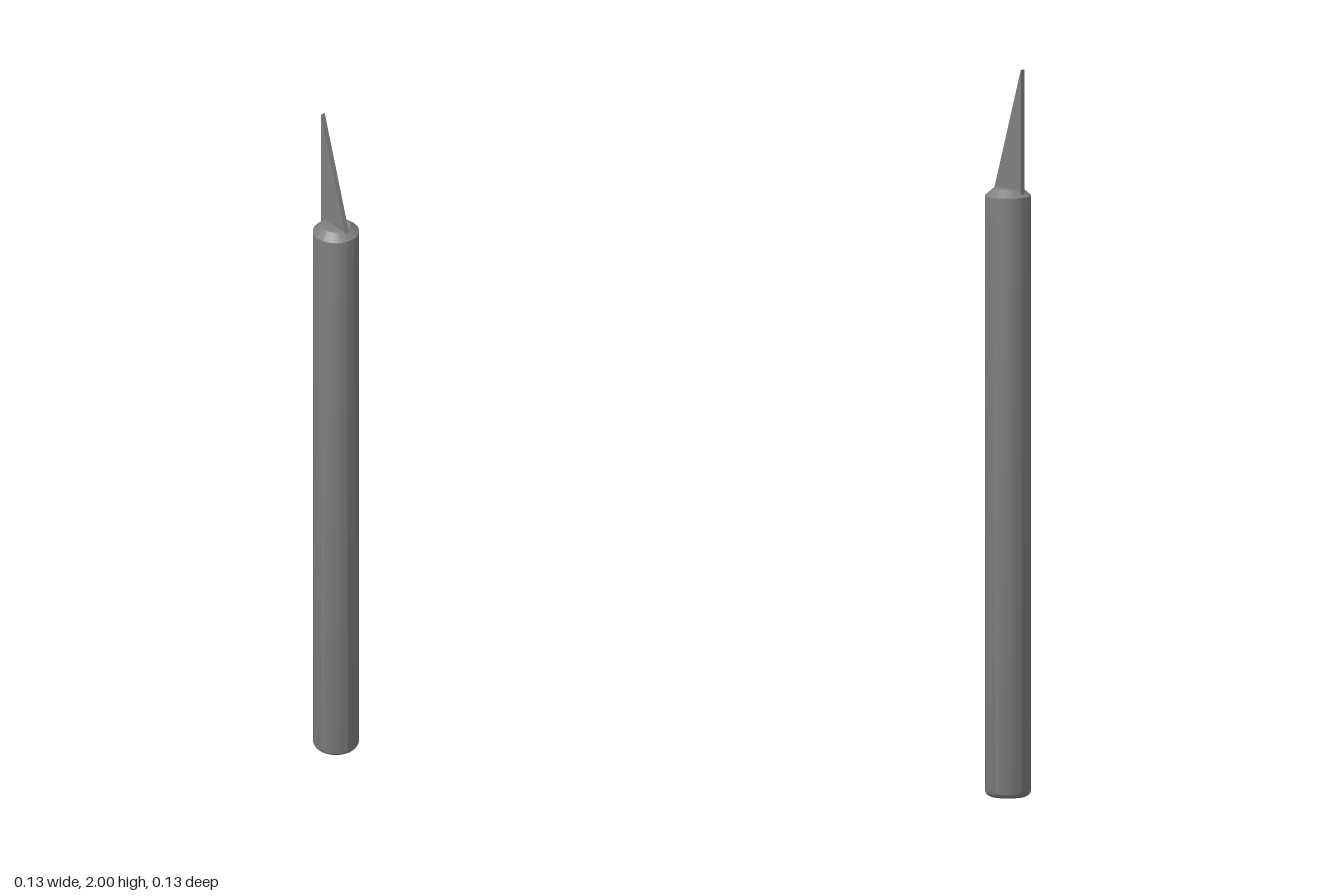
import * as THREE from 'three';
import { toCreasedNormals } from 'three/addons/utils/BufferGeometryUtils.js';

export function createModel() {
  const model = new THREE.Group();
  model.name = 'craftKnife';
  const grey = new THREE.MeshStandardMaterial({ color: 0x808080 });
  grey.name = 'grey';

  // Handle: rounded bottom edge, straight barrel, chamfered collar
  const radius = 0.063, fillet = 0.02;
  const profile = [new THREE.Vector2(0, 0)];
  for (let i = 0; i <= 5; i++) {
    const a = (i / 5) * Math.PI / 2;
    profile.push(new THREE.Vector2(
      radius - fillet + fillet * Math.sin(a),
      fillet - fillet * Math.cos(a)
    ));
  }
  profile.push(
    new THREE.Vector2(radius, 1.65),
    new THREE.Vector2(0.04, 1.67),
    new THREE.Vector2(0, 1.67)
  );
  const handle = new THREE.Mesh(
    toCreasedNormals(new THREE.LatheGeometry(profile, 48), 0.6), grey);
  handle.name = 'handle';
  model.add(handle);

  // Blade: thin triangle with an upright spine at the back
  const thickness = 0.014;
  const outline = new THREE.Shape([
    new THREE.Vector2(-0.054, 1.655),
    new THREE.Vector2(0.048, 1.655),
    new THREE.Vector2(-0.054, 2)
  ]);
  const bladeGeometry = new THREE.ExtrudeGeometry(outline, { depth: thickness, bevelEnabled: false });
  bladeGeometry.rotateY(-Math.PI / 2);
  bladeGeometry.translate(thickness / 2, 0, 0);
  const blade = new THREE.Mesh(bladeGeometry, grey);
  blade.name = 'blade';
  model.add(blade);

  return model;
}
